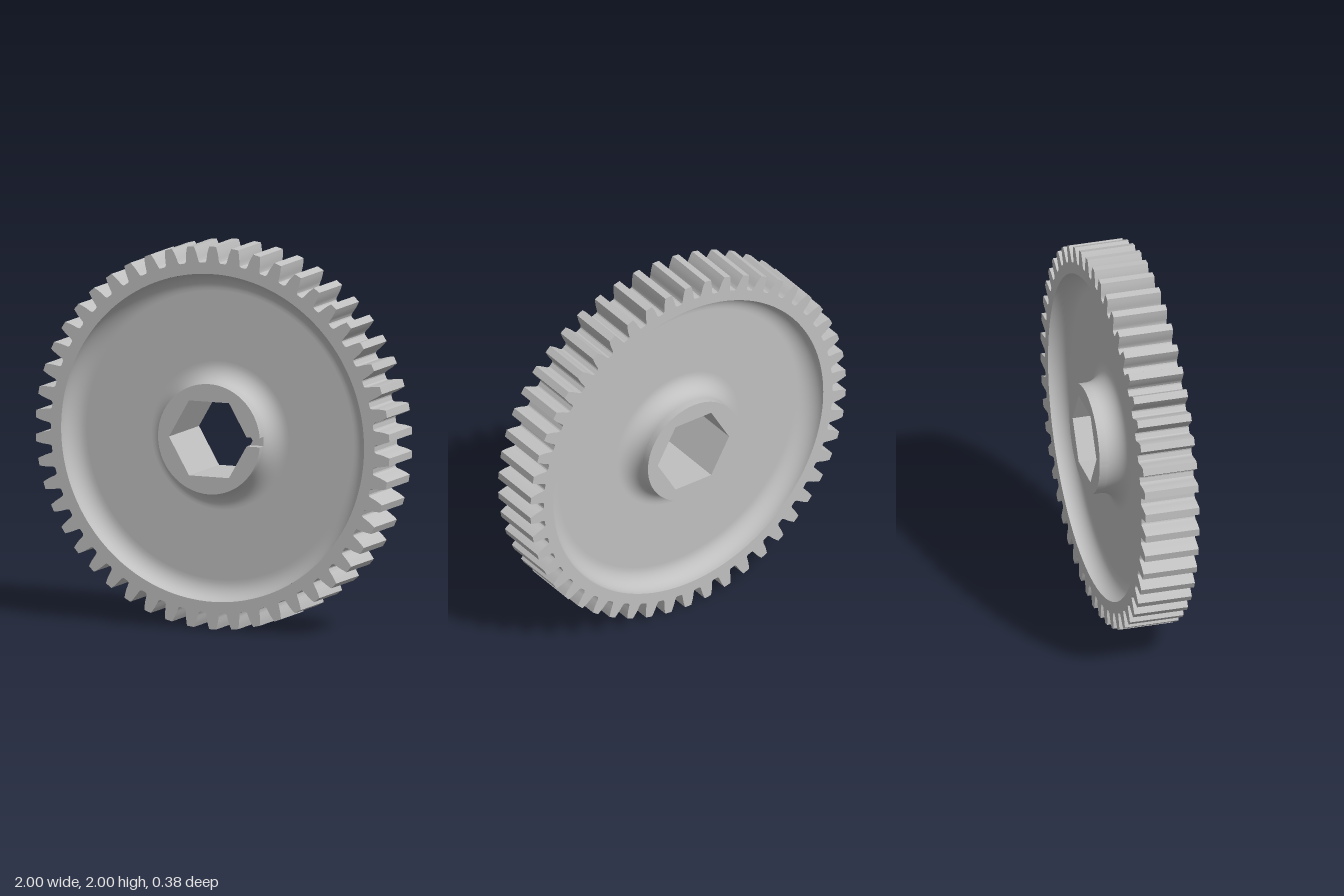
import * as THREE from 'three';
import { toCreasedNormals } from 'three/addons/utils/BufferGeometryUtils.js';

const TEETH = 50;
const RIM_Z = 0.144, HUB_Z = 0.19, WEB_Z = 0.048; // half thicknesses
const RIM_R = 0.856, HUB_R = 0.288, HEX_R = 0.226;
const SLOT = 0.024, SLOT_FLOOR = 0.142; // half width and floor of the index slot
const SEGMENTS = 96;

const polar = (r, a) => new THREE.Vector2(r * Math.cos(a), r * Math.sin(a));

// Extrude a shape from z0 to z1, smooth along gentle curves
function slab(shape, z0, z1) {
  const geo = new THREE.ExtrudeGeometry(shape, {
    depth: z1 - z0, bevelEnabled: false, curveSegments: SEGMENTS,
  });
  geo.translate(0, 0, z0);
  return toCreasedNormals(geo, 0.3);
}

// Outline of all teeth: radius and half angle along one flank, root to tip
function toothedShape() {
  const flank = [
    [0.914, 0.05], [0.917, 0.043], [0.925, 0.0385], [0.94, 0.0355],
    [0.9615, 0.0314], [0.981, 0.0257], [1, 0.0195],
  ];
  const points = [];
  for (let i = 0; i < TEETH; i++) {
    const mid = Math.PI / 2 + (i / TEETH) * Math.PI * 2;
    flank.forEach(([r, a]) => points.push(polar(r, mid - a)));
    [...flank].reverse().forEach(([r, a]) => points.push(polar(r, mid + a)));
  }
  const shape = new THREE.Shape(points);
  shape.holes.push(new THREE.Path().absarc(0, 0, RIM_R, 0, Math.PI * 2, true));
  return shape;
}

// Dished web with a fillet against the rim and another against the hub
function webGeometry() {
  const f = RIM_Z - WEB_Z, steps = 12, profile = [];
  for (let i = 0; i <= steps; i++) {
    const a = (i / steps) * Math.PI / 2;
    profile.push(new THREE.Vector2(RIM_R - f + f * Math.cos(a), RIM_Z - f * Math.sin(a)));
  }
  profile.push(new THREE.Vector2(RIM_R - f - 0.005, WEB_Z));
  profile.push(new THREE.Vector2(HUB_R + f + 0.005, WEB_Z));
  for (let i = 0; i <= steps; i++) {
    const a = (i / steps) * Math.PI / 2;
    profile.push(new THREE.Vector2(HUB_R + f - f * Math.sin(a), RIM_Z - f * Math.cos(a)));
  }
  return new THREE.LatheGeometry(profile, SEGMENTS);
}

// Round hub with a hexagonal bore
function hubShape() {
  const shape = new THREE.Shape().absarc(0, 0, HUB_R, 0, Math.PI * 2, false);
  const hex = [];
  for (let i = 0; i < 6; i++) hex.push(polar(HEX_R, -i * Math.PI / 3));
  shape.holes.push(new THREE.Path(hex));
  return shape;
}

// The same section, cut open on one side by the index slot
function slottedHubShape() {
  const a = Math.asin(SLOT / HUB_R);
  const innerX = HEX_R - SLOT / Math.sqrt(3);
  const shape = new THREE.Shape();
  shape.absarc(0, 0, HUB_R, a, Math.PI * 2 - a, false);
  shape.lineTo(innerX, -SLOT);
  for (let i = 1; i < 6; i++) {
    const p = polar(HEX_R, -i * Math.PI / 3);
    shape.lineTo(p.x, p.y);
  }
  shape.lineTo(innerX, SLOT);
  shape.closePath();
  return shape;
}

export function createModel() {
  const steel = new THREE.MeshStandardMaterial({ color: 0xc0c0c0 });
  steel.name = 'greyMetal';
  const gear = new THREE.Group();
  gear.name = 'spurGear';
  const add = (name, geometry) => {
    const mesh = new THREE.Mesh(geometry, steel);
    mesh.name = name;
    mesh.position.y = 1;
    gear.add(mesh);
    return mesh;
  };

  add('toothedRim', slab(toothedShape(), -RIM_Z, RIM_Z));
  add('frontWeb', webGeometry()).rotation.x = Math.PI / 2;
  add('backWeb', webGeometry()).rotation.x = -Math.PI / 2;
  add('hub', slab(hubShape(), -HUB_Z, SLOT_FLOOR));
  add('slottedHubFace', slab(slottedHubShape(), SLOT_FLOOR, HUB_Z));
  return gear;
}
